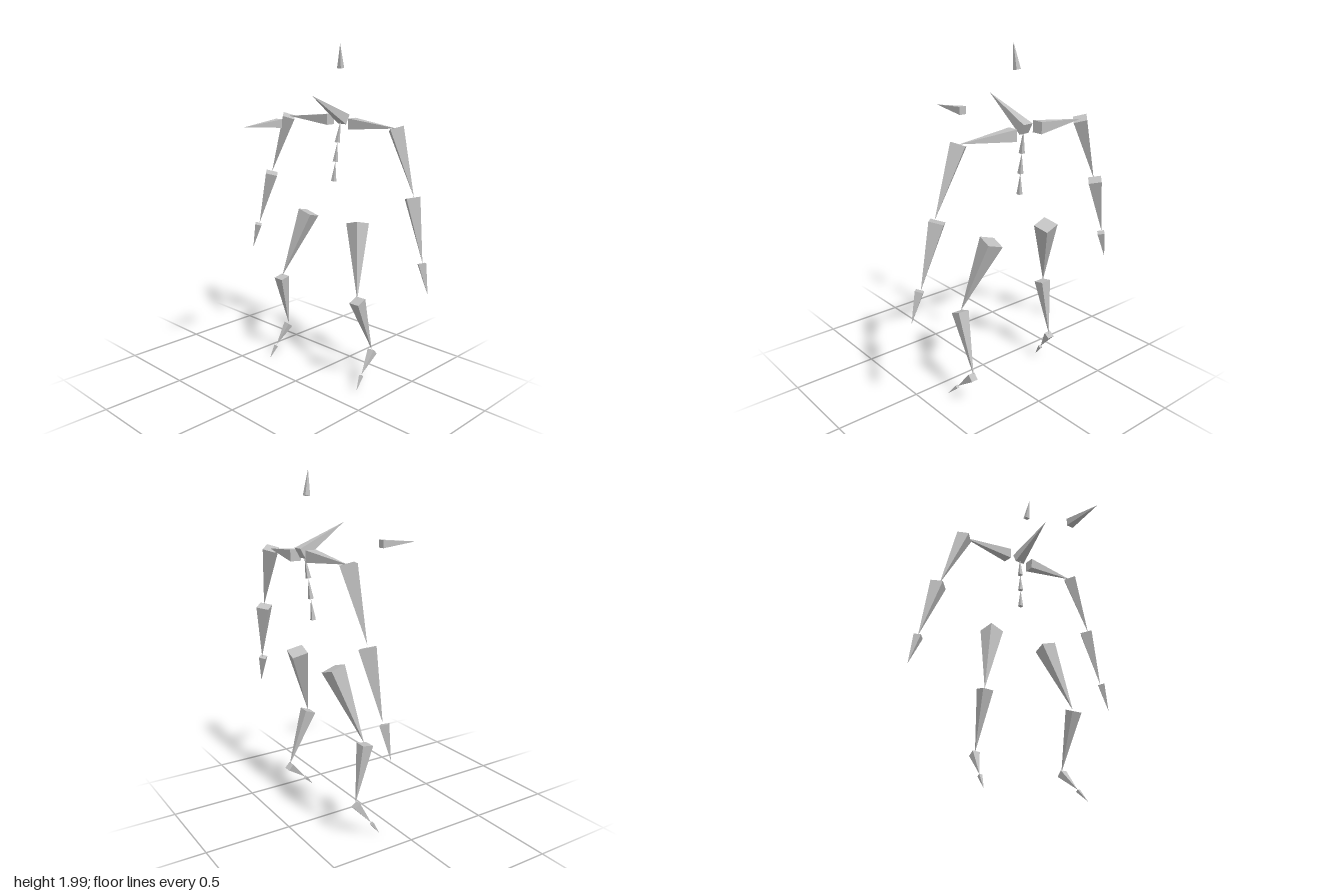
import * as THREE from 'three';

const bone = new THREE.MeshStandardMaterial({ color: 0xc0c0c0 });
bone.name = 'boneGrey';

// Square pyramid from a base centre to a tip; roll turns the base about the axis
function spike(name, base, tip, side, roll = 0) {
  const a = new THREE.Vector3(...base);
  const b = new THREE.Vector3(...tip);
  const axis = b.clone().sub(a);
  const length = axis.length();
  axis.normalize();
  const ref = Math.abs(axis.x) < 0.8 ? new THREE.Vector3(1, 0, 0) : new THREE.Vector3(0, 0, 1);
  const u = ref.addScaledVector(axis, -ref.dot(axis)).normalize();
  const v = u.clone().cross(axis);

  const geo = new THREE.ConeGeometry(side / Math.SQRT2, length, 4, 1, false, Math.PI / 4).toNonIndexed();
  geo.translate(0, length / 2, 0);
  geo.rotateY(roll);
  geo.applyMatrix4(new THREE.Matrix4().makeBasis(u, axis, v).setPosition(a));
  geo.computeVertexNormals();
  const mesh = new THREE.Mesh(geo, bone);
  mesh.name = name;
  return mesh;
}

export function createModel() {
  const model = new THREE.Group();
  model.name = 'skeletonRig';
  const add = (...args) => model.add(spike(...args));
  const quarter = Math.PI / 4;
  const thighRoll = Math.PI / 18;

  // Spine chain
  const spine = [
    [0.006, 1.2, -0.313], [0.01, 1.317, -0.322], [0.013, 1.43, -0.333], [0.02, 1.555, -0.35],
  ];
  for (let i = 0; i < 3; i++) add('spine' + (i + 1), spine[i], spine[i + 1], 0.023);

  // Neck, head top and the loose front bone
  add('neck', [0.024, 1.565, -0.374], [0.031, 1.715, -0.096], 0.062);
  add('headTop', [0.043, 1.86, -0.318], [0.053, 1.997, -0.3], 0.029);
  add('frontBone', [0.023, 1.58, 0.147], [0.023, 1.578, 0.393], 0.046);

  // Left arm
  add('leftShoulder', [0.1, 1.545, -0.36], [0.434, 1.545, -0.347], 0.064);
  add('leftUpperArm', [0.434, 1.545, -0.343], [0.577, 1.186, -0.333], 0.075, quarter);
  add('leftForearm', [0.565, 1.18, -0.337], [0.661, 0.834, -0.32], 0.075, quarter);
  add('leftHand', [0.663, 0.832, -0.312], [0.714, 0.663, -0.307], 0.042, quarter);

  // Right arm
  add('rightShoulder', [-0.068, 1.559, -0.36], [-0.407, 1.556, -0.347], 0.064);
  add('rightUpperArm', [-0.407, 1.557, -0.343], [-0.556, 1.186, -0.333], 0.075, quarter);
  add('rightForearm', [-0.563, 1.175, -0.337], [-0.671, 0.822, -0.32], 0.075, quarter);
  add('rightHand', [-0.673, 0.814, -0.312], [-0.724, 0.642, -0.307], 0.042, quarter);

  // Left leg
  add('leftThigh', [0.2, 0.975, -0.312], [0.313, 0.562, -0.19], 0.094, thighRoll);
  add('leftShin', [0.316, 0.555, -0.187], [0.328, 0.217, -0.318], 0.068);
  add('leftFoot', [0.332, 0.208, -0.318], [0.35, 0.1, -0.2], 0.044);
  add('leftToe', [0.35, 0.095, -0.198], [0.369, 0.027, -0.135], 0.019);

  // Right leg
  add('rightThigh', [-0.2, 0.975, -0.312], [-0.312, 0.562, -0.19], 0.094, -thighRoll);
  add('rightShin', [-0.312, 0.553, -0.185], [-0.317, 0.22, -0.25], 0.066);
  add('rightFoot', [-0.32, 0.211, -0.25], [-0.34, 0.085, -0.16], 0.042);
  add('rightToe', [-0.34, 0.08, -0.157], [-0.346, 0.005, -0.107], 0.019);

  return model;
}
